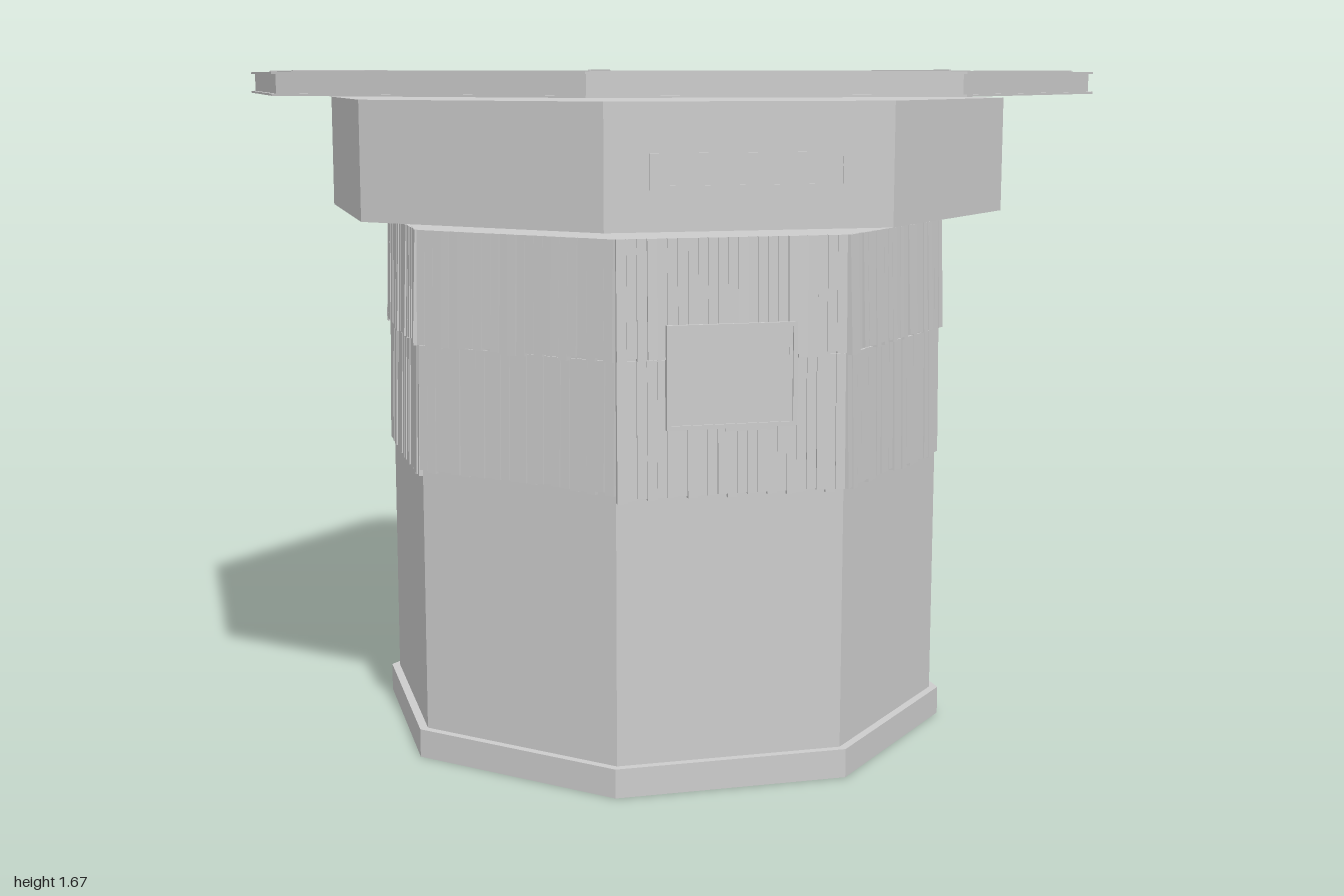
import * as THREE from 'three';

const T = Math.tan(Math.PI / 8);
const mat = new THREE.MeshStandardMaterial({ color: 0xcccccc, flatShading: true });

// Small seeded generator for uneven shingles
let seed = 7;
const rand = () => (seed = (seed * 16807) % 2147483647) / 2147483647;

function add(parent, geo, name) {
  const m = new THREE.Mesh(geo, mat);
  m.name = name;
  parent.add(m);
  return m;
}

// Octagon outline with flat sides facing the axes; a = distance to a side
function octagon(a, Kind = THREE.Shape) {
  const pts = [];
  for (let i = 0; i < 8; i++) {
    const t = (i + 0.5) * Math.PI / 4, r = a / Math.cos(Math.PI / 8);
    pts.push(new THREE.Vector2(r * Math.cos(t), r * Math.sin(t)));
  }
  return new Kind(pts);
}

// Octagonal slab from y0 to y1, or a ring when an inner size is given
function slab(parent, name, a, y0, y1, inner) {
  const s = octagon(a);
  if (inner) s.holes.push(octagon(inner, THREE.Path));
  const g = new THREE.ExtrudeGeometry(s, { depth: y1 - y0, bevelEnabled: false });
  g.rotateX(-Math.PI / 2).translate(0, y0, 0);
  return add(parent, g, name);
}

function box(parent, name, x0, x1, y0, y1, z0, z1) {
  const g = new THREE.BoxGeometry(x1 - x0, y1 - y0, z1 - z0);
  g.translate((x0 + x1) / 2, (y0 + y1) / 2, (z0 + z1) / 2);
  return add(parent, g, name);
}

function rect(x0, x1, y0, y1, Kind = THREE.Shape) {
  return new Kind([[x0, y0], [x1, y0], [x1, y1], [x0, y1]].map(p => new THREE.Vector2(...p)));
}

const A = 0.66;                                        // body size
const HOLE = { x0: -0.1, x1: 0.1, y0: 0.75, y1: 1.07 }; // rear opening

// One row of narrow upright shingles, leaning out toward the bottom
function shingleRow(parent, y0, y1, lift, hole) {
  const n = 23, w = 2 * A * T / n;
  for (let i = 0; i < n; i++) {
    const x0 = -A * T + i * w, x1 = x0 + w * 0.97;
    const low = y0 + rand() * 0.012, out = lift + rand() * 0.008;
    const spans = hole && x1 > hole.x0 && x0 < hole.x1
      ? [[low, Math.min(y1, hole.y0)], [Math.max(low, hole.y1), y1]]
      : [[low, y1]];
    for (const [a, b] of spans) {
      if (b - a < 0.005) continue;
      const m = box(parent, 'shingle', x0, x1, a, b, A - 0.004, A + out);
      const p = m.geometry.attributes.position;
      for (let k = 0; k < p.count; k++) {
        if (p.getZ(k) > A) p.setZ(k, A + out * (1 - 0.5 * (p.getY(k) - y0) / (y1 - y0)));
      }
    }
  }
}

export function createModel() {
  const model = new THREE.Group();
  model.name = 'octagonalKiosk';

  // Hollow body: eight wall panels, numbered from the front towards +x
  for (let i = 0; i < 8; i++) {
    const side = new THREE.Group();
    side.name = 'side' + i;
    side.rotation.y = i * Math.PI / 4;
    model.add(side);

    const s = rect(-A * T, A * T, 0, 1.292);
    if (i === 4) s.holes.push(rect(HOLE.x0, HOLE.x1, HOLE.y0, HOLE.y1, THREE.Path));
    const wall = new THREE.ExtrudeGeometry(s, { depth: 0.015, bevelEnabled: false });
    add(side, wall.translate(0, 0, A - 0.015), 'wall');

    // Shingles on every side but the +x one
    if (i !== 2) {
      const hole = i === 4 ? HOLE : null;
      shingleRow(side, i === 7 ? 0.71 : 0.695, 1.02, 0.008, hole);
      shingleRow(side, 1.015, 1.295, 0.011, hole);
    }

    // Front hatch with a slim frame
    if (i === 0) {
      box(side, 'hatch', -0.15, 0.14, 0.87, 1.09, A, 0.677);
      const f = rect(-0.16, 0.15, 0.86, 1.10);
      f.holes.push(rect(-0.15, 0.14, 0.87, 1.09, THREE.Path));
      const g = new THREE.ExtrudeGeometry(f, { depth: 0.022, bevelEnabled: false });
      add(side, g.translate(0, 0, A), 'hatchFrame');
      box(side, 'hatchLatch', -0.02, 0.1, 0.852, 0.862, A, 0.675);
    }

    // Rear opening: jambs, sill, lintel and back of a niche
    if (i === 4) {
      const { x0, x1, y0, y1 } = HOLE, zi = A - 0.14, t = 0.008;
      box(side, 'nicheJamb', x0 - t, x0, y0 - t, y1 + t, zi, A - 0.001);
      box(side, 'nicheJamb', x1, x1 + t, y0 - t, y1 + t, zi, A - 0.001);
      box(side, 'nicheSill', x0, x1, y0 - t, y0, zi, A - 0.001);
      box(side, 'nicheLintel', x0, x1, y1, y1 + t, zi, A - 0.001);
      box(side, 'nicheBack', x0 - t, x1 + t, y0 - t, y1 + t, zi - t, zi);
    }
  }
  slab(model, 'bodyTop', A - 0.005, 1.28, 1.292);
  slab(model, 'base', 0.68, 0, 0.07, 0.645);

  // Collar with its front plate
  slab(model, 'collar', 0.8, 1.32, 1.6);
  const plate = rect(-0.23, 0.22, 1.41, 1.49);
  plate.holes.push(rect(-0.22, 0.21, 1.42, 1.48, THREE.Path));
  const plateGeo = new THREE.ExtrudeGeometry(plate, { depth: 0.006, bevelEnabled: false });
  add(model, plateGeo.translate(0, 0, 0.799), 'collarPlateFrame');
  box(model, 'collarPlate', -0.22, 0.21, 1.42, 1.48, 0.795, 0.802);

  // Roof: slab between two thin, slightly wider sheets
  slab(model, 'roofUnderside', 1, 1.61, 1.615);
  slab(model, 'roofSlab', 0.99, 1.615, 1.658);
  slab(model, 'roofRim', 1, 1.658, 1.663, 0.955);
  slab(model, 'roofPanel', 0.955, 1.658, 1.665);

  // Short seams running inward from the roof corners
  for (let i = 0; i < 8; i++) {
    const seam = box(model, 'roofSeam', 0.79, 1.03, 1.66, 1.667, -0.003, 0.003);
    seam.rotation.y = (i + 0.5) * Math.PI / 4;
  }
  return model;
}
